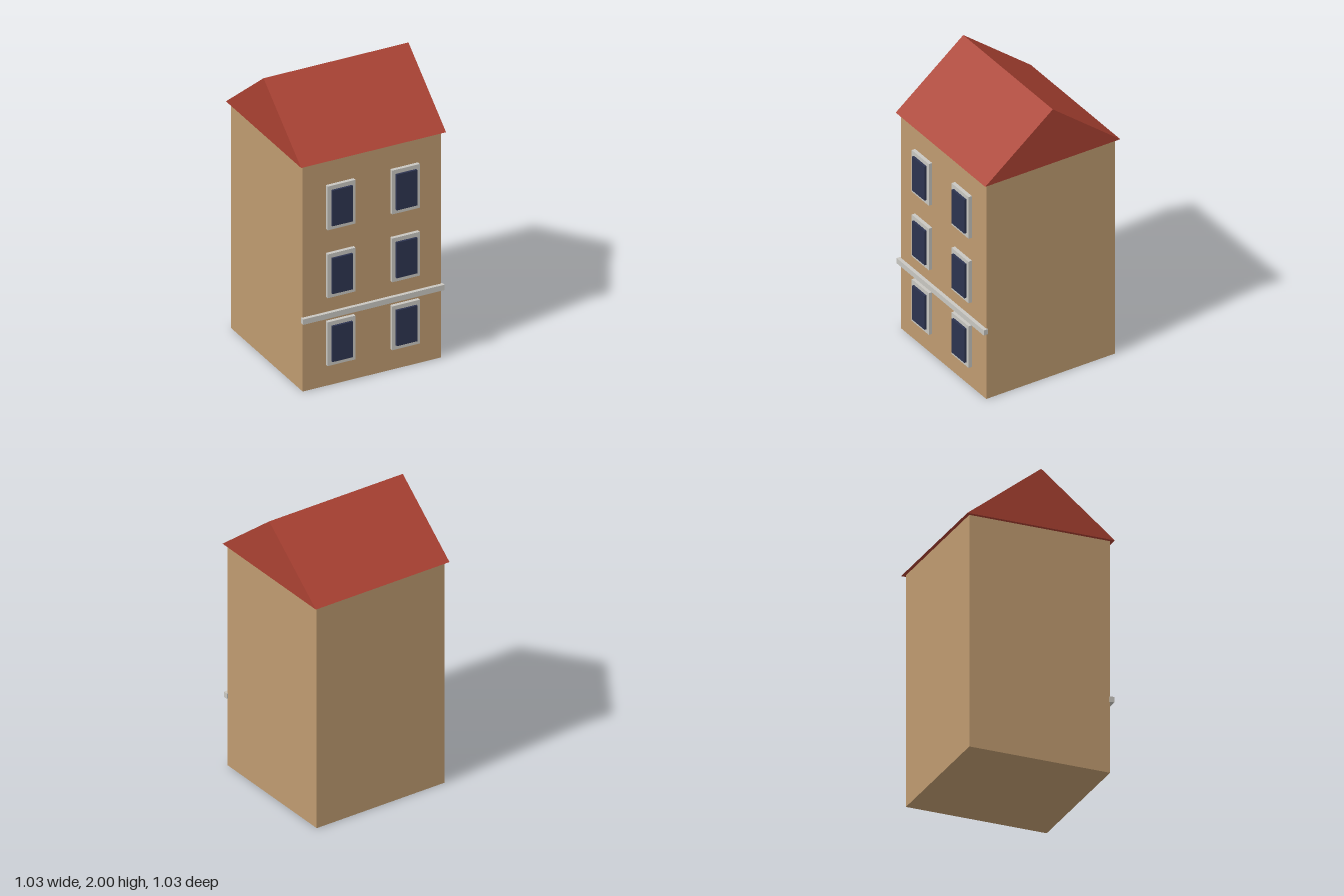
import * as THREE from 'three';

const material = (name, color) => {
  const m = new THREE.MeshStandardMaterial({ color });
  m.name = name;
  return m;
};

export function createModel() {
  const house = new THREE.Group();
  house.name = 'townHouse';
  const wall = material('tan wall', 0xbf9b70);
  const tile = material('red roof', 0xaa4132);
  const stone = material('pale stone', 0xc9c7c1);
  const glass = material('dark blue glass', 0x2d3450);

  const MID = -0.009; // depth centre of the walls and the ridge

  const addBox = (parent, name, mat, [w, h, d], [x, y, z]) => {
    const mesh = new THREE.Mesh(new THREE.BoxGeometry(w, h, d), mat);
    mesh.name = name;
    mesh.position.set(x, y, z);
    parent.add(mesh);
  };

  // Walls
  addBox(house, 'walls', wall, [0.98, 1.6, 0.964], [0, 0.8, MID]);

  // Gable roof: triangle extruded along x
  const gable = new THREE.Shape([
    new THREE.Vector2(-0.505, 0),
    new THREE.Vector2(0.505, 0),
    new THREE.Vector2(0, 0.4),
  ]);
  const roofGeometry = new THREE.ExtrudeGeometry(gable, { depth: 1.026, bevelEnabled: false });
  roofGeometry.translate(0, 0, -0.513).rotateY(Math.PI / 2);
  const roof = new THREE.Mesh(roofGeometry, tile);
  roof.name = 'roof';
  roof.position.set(0, 1.6, MID);
  house.add(roof);

  // Stone band above the ground floor
  addBox(house, 'stringCourse', stone, [1, 0.038, 0.03], [0, 0.505, 0.483]);

  // Three floors of paired windows
  for (const y of [0.306, 0.787, 1.268]) {
    for (const x of [-0.228, 0.228]) {
      const unit = new THREE.Group();
      unit.name = 'window';
      unit.position.set(x, y, 0);
      addBox(unit, 'frame', stone, [0.196, 0.31, 0.03], [0, 0, 0.483]);
      addBox(unit, 'pane', glass, [0.145, 0.252, 0.02], [0, 0, 0.503]);
      house.add(unit);
    }
  }
  return house;
}
